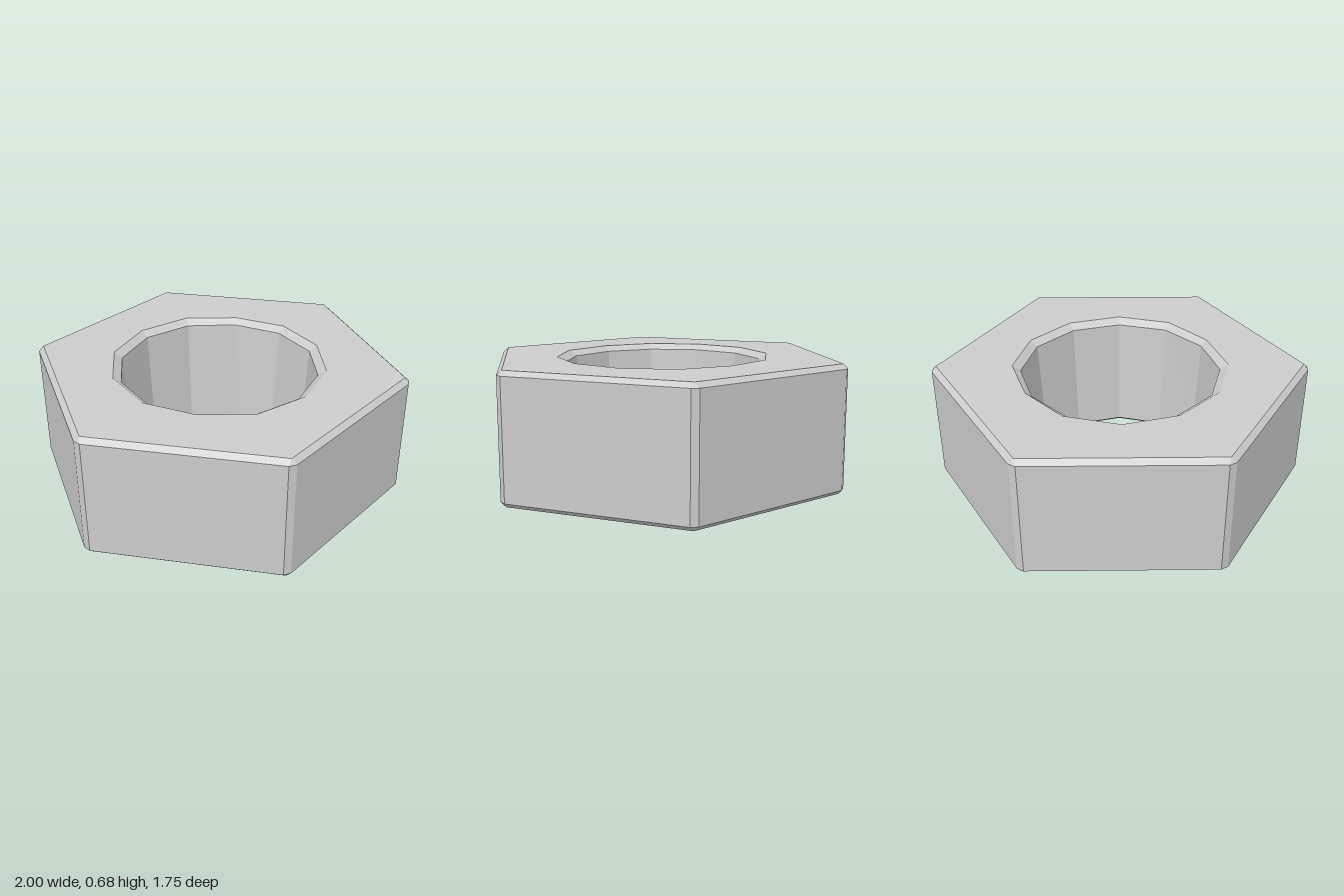
import * as THREE from 'three';

const CORNERS = 6;

// Hexagonal ring: each corner is a small flat of half-width c, followed by the middle of the next side.
function hexRing(y, r, c) {
  const pts = [];
  const apothem = r * Math.cos(Math.PI / 6) + c * 0.5;
  for (let k = 0; k < CORNERS; k++) {
    const a = (k * Math.PI) / 3, m = a + Math.PI / 6;
    const cos = Math.cos(a), sin = Math.sin(a);
    pts.push([r * cos + c * sin, y, r * sin - c * cos]);
    pts.push([r * cos - c * sin, y, r * sin + c * cos]);
    pts.push([apothem * Math.cos(m), y, apothem * Math.sin(m)]);
  }
  return pts;
}

// Twelve-sided hole ring, with the corner point doubled to pair up with hexRing.
function holeRing(y, r, pole = r) {
  const pts = [];
  for (let k = 0; k < CORNERS; k++) {
    const a = (k * Math.PI) / 3, m = a + Math.PI / 6;
    const rm = k % 3 === 1 ? pole : r; // slightly flattened along z
    const corner = [r * Math.cos(a), y, r * Math.sin(a)];
    pts.push(corner, corner, [rm * Math.cos(m), y, rm * Math.sin(m)]);
  }
  return pts;
}

// Joins closed rings into a flat-shaded closed surface, skipping empty triangles.
function skinRings(rings) {
  const pos = [];
  const tri = (...p) => {
    const [a, b, c] = p.map((q) => new THREE.Vector3(...q));
    if (b.clone().sub(a).cross(c.clone().sub(a)).length() > 1e-7) pos.push(...p.flat());
  };
  rings.forEach((ring, i) => {
    const next = rings[(i + 1) % rings.length];
    ring.forEach((a, j) => {
      const n = (j + 1) % ring.length;
      tri(a, next[j], next[n]);
      tri(a, next[n], ring[n]);
    });
  });
  const geo = new THREE.BufferGeometry();
  geo.setAttribute('position', new THREE.Float32BufferAttribute(pos, 3));
  geo.computeVertexNormals();
  return geo;
}

export function createModel() {
  const H = 0.68, bevel = 0.025, chamfer = 0.03;
  const geo = skinRings([
    holeRing(0, 0.535, 0.525),           // bottom rim of the hole
    hexRing(0, 0.98, 0),                 // bottom face
    hexRing(bevel, 1, 0.02),             // bevelled sides
    hexRing(H - bevel, 1, 0.02),
    hexRing(H, 0.98, 0),                 // top face
    holeRing(H, 0.575, 0.56),            // top rim of the hole
    holeRing(H - chamfer, 0.532, 0.525), // tapering bore
    holeRing(chamfer, 0.495, 0.49),
  ]);
  const nut = new THREE.Mesh(geo, new THREE.MeshStandardMaterial({ color: 0xcccccc, flatShading: true }));
  nut.name = 'hexNut';
  const group = new THREE.Group();
  group.name = 'nut';
  group.add(nut);
  return group;
}
